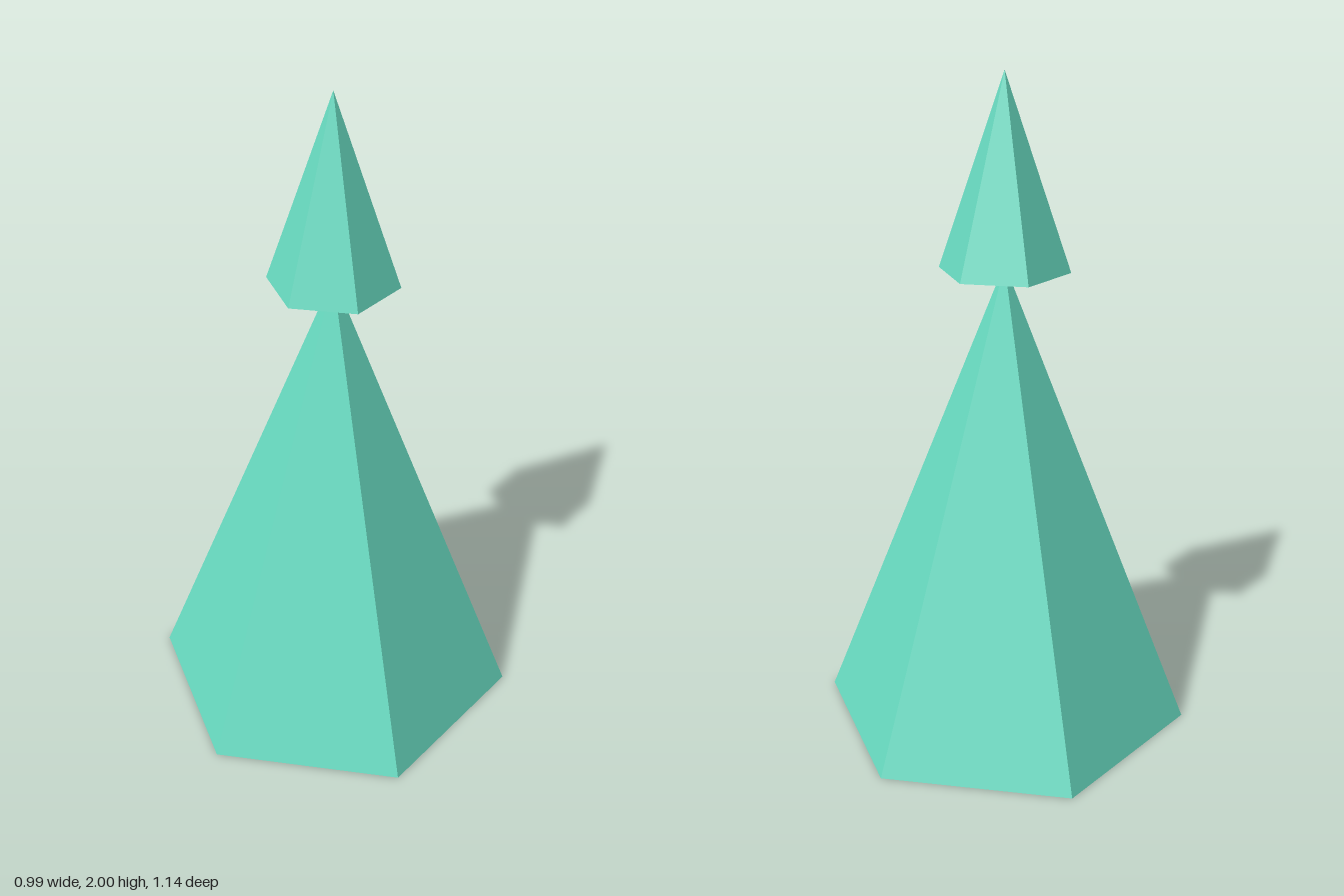
import * as THREE from 'three';

export function createModel() {
  const model = new THREE.Group();
  model.name = 'stackedCones';

  const mint = new THREE.MeshStandardMaterial({ color: 0x69dcc2, flatShading: true });
  mint.name = 'mint';

  // Six-sided cone with a closed base, one corner facing the front
  function hexCone(name, radius, bottom, top) {
    const height = top - bottom;
    const cone = new THREE.Mesh(new THREE.ConeGeometry(radius, height, 6), mint);
    cone.name = name;
    cone.position.y = bottom + height / 2;
    model.add(cone);
  }

  // Tall lower body, its tip just entering the small cone above
  hexCone('lowerCone', 0.57, 0, 1.45);
  hexCone('upperCone', 0.194, 1.432, 2);

  return model;
}
